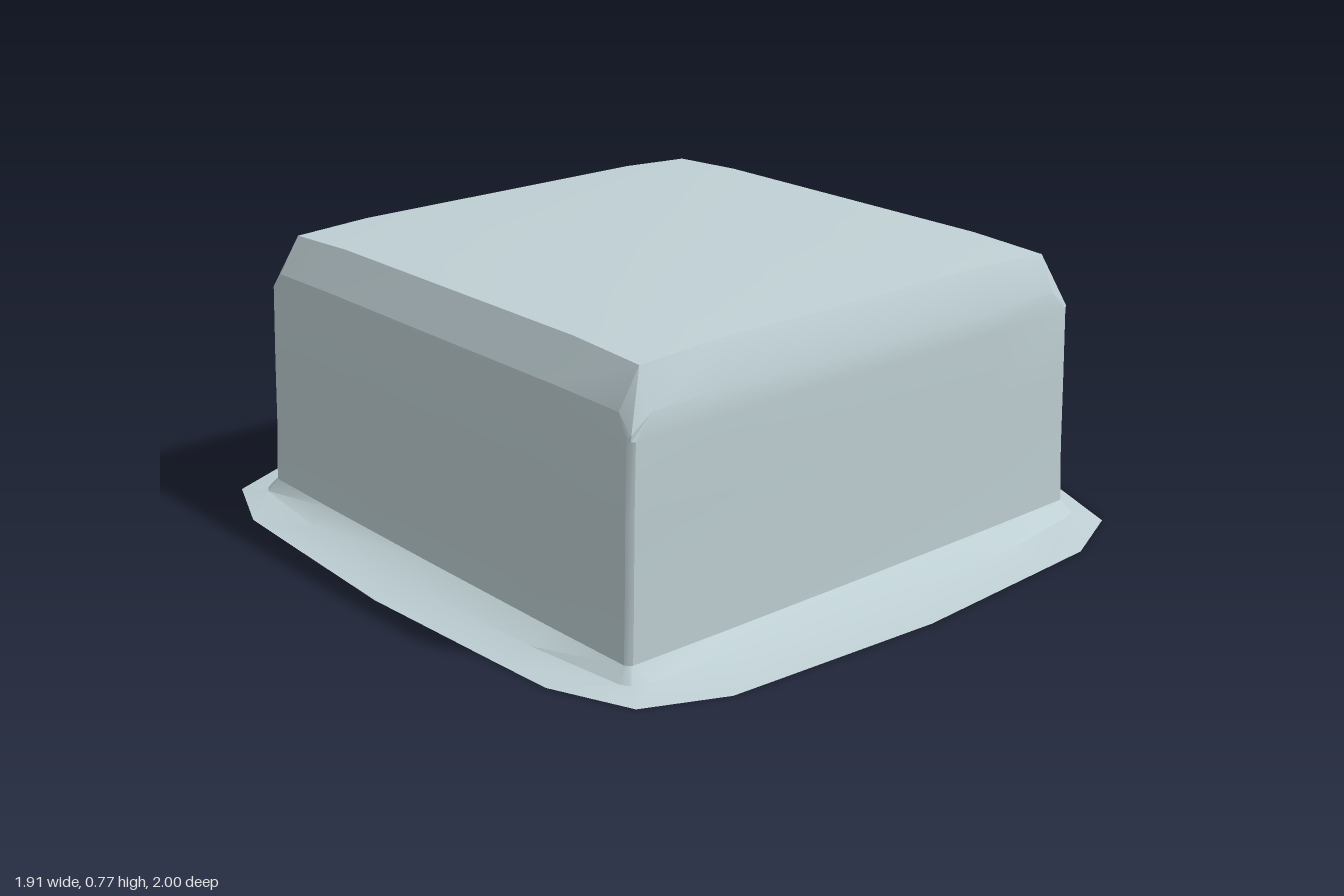
import * as THREE from 'three';
import { toCreasedNormals } from 'three/addons/utils/BufferGeometryUtils.js';

// Mirror a quarter outline (from +x axis to +z axis) into a closed ring
function ring(quarter) {
  const forward = quarter.slice(0, -1);
  const backward = quarter.slice(1).reverse();
  const flip = (pts, sx, sz) => pts.map(([x, y, z]) => [x * sx, y, z * sz]);
  return [
    ...flip(forward, 1, 1), ...flip(backward, -1, 1),
    ...flip(forward, -1, -1), ...flip(backward, 1, -1),
  ];
}

// Square wall section with a narrow corner bevel c and slightly bulging sides
function wall(w, d, y, c = 0.015, bulge = 0.006) {
  return [
    [w + bulge, y, 0], [w + bulge * 0.7, y, 0.48], [w, y, d - c],
    [w - c * 0.4, y, d - c * 0.4],
    [w - c, y, d], [0.47, y, d + bulge * 0.7], [0, y, d + bulge],
  ];
}

// Skin consecutive rings, optionally closing the ends to a centre point
function loft(rings, { bottomY, topY } = {}) {
  const pos = [];
  const same = (a, b) => a.every((v, i) => v === b[i]);
  const tri = (a, b, c) => {
    if (!same(a, b) && !same(b, c) && !same(a, c)) pos.push(...a, ...b, ...c);
  };
  const n = rings[0].length;
  for (let i = 0; i < n; i++) {
    const j = (i + 1) % n;
    for (let r = 0; r < rings.length - 1; r++) {
      const lo = rings[r], up = rings[r + 1];
      tri(lo[i], up[i], lo[j]);
      tri(lo[j], up[i], up[j]);
    }
    const first = rings[0], last = rings[rings.length - 1];
    if (bottomY !== undefined) tri([0, bottomY, 0], first[i], first[j]);
    if (topY !== undefined) tri([0, topY, 0], last[j], last[i]);
  }
  const geo = new THREE.BufferGeometry();
  geo.setAttribute('position', new THREE.Float32BufferAttribute(pos, 3));
  return toCreasedNormals(geo, 0.42);
}

export function createModel() {
  const group = new THREE.Group();
  group.name = 'squareCushionBlock';
  const material = new THREE.MeshStandardMaterial({ color: 0xbfd0d4 });
  const add = (name, geometry) => {
    const mesh = new THREE.Mesh(geometry, material);
    mesh.name = name;
    group.add(mesh);
  };

  const foot = ring(wall(0.775, 0.772, 0.05));

  // Thin flared skirt with a flat underside
  const rim = ring([
    [0.955, 0, 0], [0.93, 0, 0.48], [0.92, 0, 0.65], [0.83, 0, 0.865],
    [0.62, 0, 0.96], [0.47, 0, 0.97], [0, 0, 1],
  ]);
  const flare = ring([
    [0.85, 0.015, 0], [0.835, 0.015, 0.48], [0.8, 0.015, 0.77], [0.785, 0.015, 0.795],
    [0.74, 0.015, 0.81], [0.47, 0.015, 0.85], [0, 0.015, 0.865],
  ]);
  add('skirt', loft([rim, flare, foot], { bottomY: 0 }));

  // Upper wall edge, with the corner cut down to a diamond facet
  const shoulder = ring([
    [0.755, 0.655, 0], [0.754, 0.655, 0.48], [0.75, 0.65, 0.715], [0.75, 0.605, 0.758],
    [0.69, 0.65, 0.76], [0.47, 0.655, 0.764], [0, 0.655, 0.765],
  ]);

  // Top edge meets in sharp corners; the middle rises slightly
  const corner = [0.69, 0.747, 0.715];
  const topEdge = ring([
    [0.69, 0.758, 0], [0.69, 0.758, 0.48], corner, corner, corner,
    [0.47, 0.758, 0.715], [0, 0.758, 0.715],
  ]);
  const inner = [0.47, 0.77, 0.48];
  const topInner = ring([
    [0.47, 0.77, 0], inner, inner, inner, inner, inner, [0, 0.77, 0.48],
  ]);
  add('body', loft([
    foot,
    ring(wall(0.768, 0.768, 0.2)),
    ring(wall(0.763, 0.765, 0.4)),
    ring(wall(0.756, 0.763, 0.59)),
    shoulder, topEdge, topInner,
  ], { topY: 0.772 }));

  return group;
}
